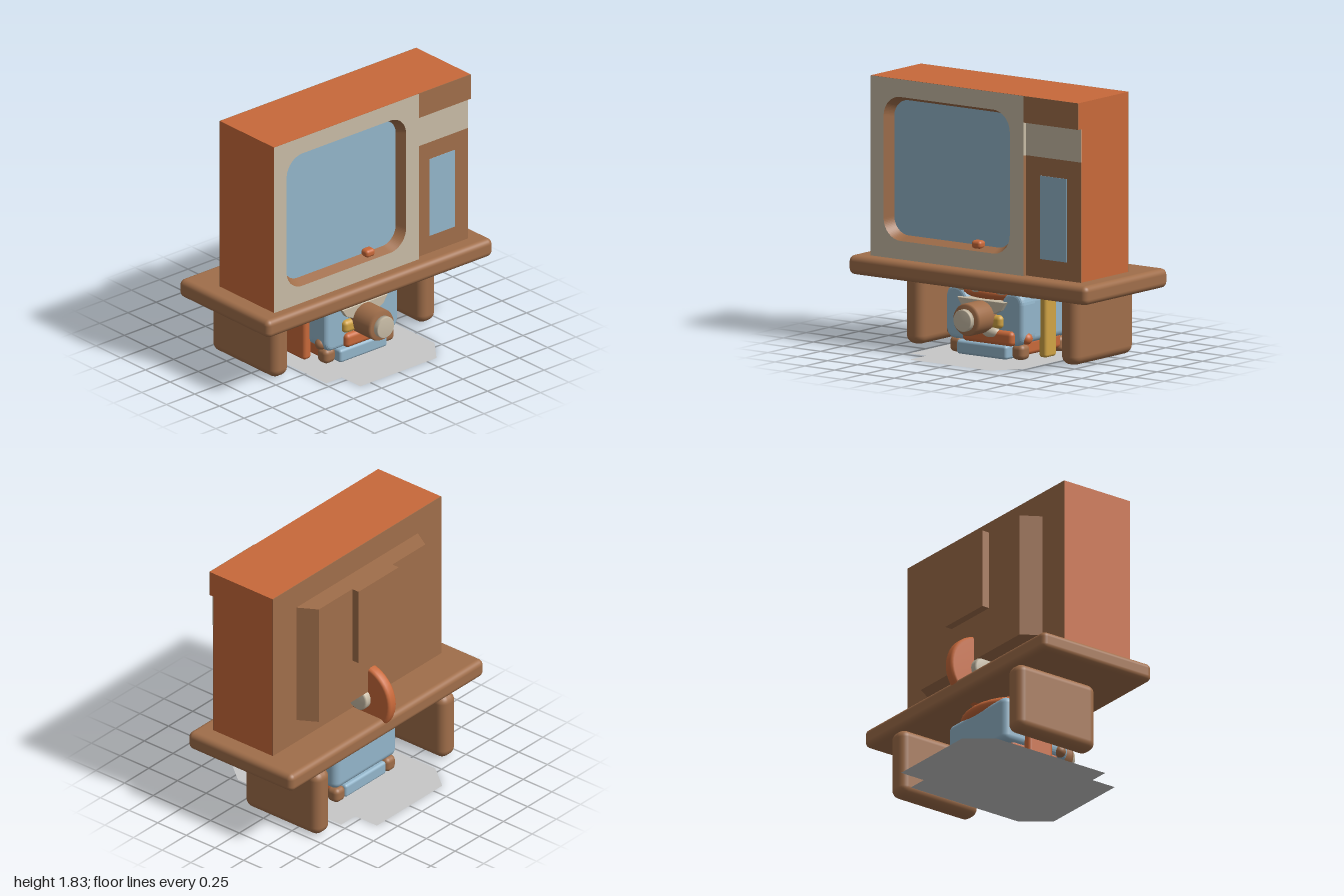
import * as THREE from 'three';
import { RoundedBoxGeometry } from 'three/addons/geometries/RoundedBoxGeometry.js';

const mat = (name, color, side = THREE.FrontSide) => {
  const m = new THREE.MeshStandardMaterial({ color, side });
  m.name = name;
  return m;
};

// Rounded rectangle outline from min/max corners
function roundedRect(Type, x0, x1, y0, y1, r) {
  const p = new Type();
  p.moveTo(x0 + r, y0);
  p.lineTo(x1 - r, y0);
  p.absarc(x1 - r, y0 + r, r, -Math.PI / 2, 0);
  p.lineTo(x1, y1 - r);
  p.absarc(x1 - r, y1 - r, r, 0, Math.PI / 2);
  p.lineTo(x0 + r, y1);
  p.absarc(x0 + r, y1 - r, r, Math.PI / 2, Math.PI);
  p.lineTo(x0, y0 + r);
  p.absarc(x0 + r, y0 + r, r, Math.PI, Math.PI * 1.5);
  return p;
}

export function createModel() {
  const root = new THREE.Group();
  const orange = mat('orange', 0xc8693a);
  const brown = mat('brown', 0xa06e4a);
  const beige = mat('beige', 0xc8bca6);
  const blue = mat('blue', 0x93b5ca);
  const yellow = mat('yellow', 0xd0a344);
  const grey = mat('grey', 0xc8c8c8, THREE.DoubleSide);

  const add = (name, geo, material, x = 0, y = 0, z = 0) => {
    const m = new THREE.Mesh(geo, material);
    m.name = name;
    m.position.set(x, y, z);
    root.add(m);
    return m;
  };
  // Boxes given by min/max on each axis; r > 0 rounds the edges
  const box = (name, material, x0, x1, y0, y1, z0, z1, r = 0) => {
    const s = [x1 - x0, y1 - y0, z1 - z0];
    const geo = r ? new RoundedBoxGeometry(...s, 4, r) : new THREE.BoxGeometry(...s);
    return add(name, geo, material, (x0 + x1) / 2, (y0 + y1) / 2, (z0 + z1) / 2);
  };
  const ball = (name, material, x, y, z, rx, ry = rx, rz = rx) => {
    const m = add(name, new THREE.SphereGeometry(1, 28, 18), material, x, y, z);
    m.scale.set(rx, ry, rz);
    return m;
  };

  // Table
  box('tableTop', brown, -1, 1, 0.48, 0.61, -0.455, 0.455, 0.04);
  for (const s of [-1, 1]) {
    box('tableLeg', brown, s * 0.65 - 0.075, s * 0.65 + 0.075, 0.005, 0.485, -0.45, 0.2, 0.06);
  }

  // Television cabinet
  box('cabinet', orange, -0.87, 0.87, 0.61, 1.83, -0.18, 0.27);
  box('cabinetRight', orange, 0.41, 0.87, 0.61, 1.83, 0.27, 0.335);
  box('cabinetBrow', orange, 0.41, 0.87, 1.65, 1.83, 0.335, 0.366);
  box('cabinetBack', brown, -0.87, 0.87, 0.61, 1.83, -0.184, -0.18);

  // Screen surround: body ring, front face, sloped rim and glass
  const frame = new THREE.Shape([[-0.87, 0.61], [0.41, 0.61], [0.41, 1.83], [-0.87, 1.83]]
    .map(([x, y]) => new THREE.Vector2(x, y)));
  frame.holes.push(roundedRect(THREE.Path, -0.76, 0.297, 0.735, 1.71, 0.14));
  const ring = new THREE.ExtrudeGeometry(frame, { depth: 0.096, bevelEnabled: false, curveSegments: 10 });
  add('cabinetFrame', ring, orange, 0, 0, 0.27);
  add('frontFace', new THREE.ShapeGeometry(frame, 10), beige, 0, 0, 0.37);
  const outer = roundedRect(THREE.Path, -0.76, 0.297, 0.735, 1.71, 0.14).getPoints(10);
  const inner = roundedRect(THREE.Path, -0.723, 0.265, 0.765, 1.68, 0.12).getPoints(10);
  const pos = [];
  for (let i = 0; i < outer.length; i++) {
    const j = (i + 1) % outer.length;
    const a = [outer[i].x, outer[i].y, 0.37], b = [outer[j].x, outer[j].y, 0.37];
    const c = [inner[j].x, inner[j].y, 0.3], d = [inner[i].x, inner[i].y, 0.3];
    pos.push(...a, ...b, ...c, ...a, ...c, ...d);
  }
  const rim = new THREE.BufferGeometry();
  rim.setAttribute('position', new THREE.Float32BufferAttribute(pos, 3));
  rim.computeVertexNormals();
  add('screenRim', rim, brown);
  add('screen', new THREE.ShapeGeometry(
    roundedRect(THREE.Shape, -0.73, 0.272, 0.76, 1.685, 0.12), 10), blue, 0, 0, 0.301);
  box('screenKnob', orange, -0.04, 0.04, 0.747, 0.802, 0.29, 0.36, 0.022);

  // Control panel
  box('panelBrow', brown, 0.41, 0.87, 1.65, 1.83, 0.366, 0.37);
  box('panelStrip', beige, 0.41, 0.87, 1.425, 1.65, 0.335, 0.341);
  box('panelLower', brown, 0.41, 0.87, 0.61, 1.425, 0.335, 0.34);
  box('panelWindow', blue, 0.53, 0.753, 0.735, 1.3, 0.34, 0.343);
  box('stripWall', beige, 0.41, 0.412, 1.425, 1.65, 0.341, 0.369);
  box('lowerWall', brown, 0.41, 0.412, 0.61, 1.425, 0.34, 0.369);

  // Rear housing, tapered in plan
  const plan = new THREE.Shape([[-0.63, 0.18], [0.63, 0.18], [0.55, 0.315], [-0.55, 0.315]]
    .map(([x, y]) => new THREE.Vector2(x, y)));
  const housing = new THREE.ExtrudeGeometry(plan, { depth: 0.875, bevelEnabled: false });
  housing.rotateX(-Math.PI / 2);
  add('rearHousing', housing, brown, 0, 0.78, 0);
  box('rearPanel', brown, -0.21, 0.205, 1.1, 1.655, -0.37, -0.31);

  // Rear wheel with hub
  const wheelProfile = [[0, -0.04], [0.225, -0.04], [0.238, -0.034], [0.245, -0.02],
    [0.245, 0.02], [0.238, 0.034], [0.225, 0.04], [0, 0.04]].map(p => new THREE.Vector2(...p));
  add('rearWheel', new THREE.LatheGeometry(wheelProfile, 48), orange, 0, 0.72, -0.255).rotation.z = Math.PI / 2;
  const hubProfile = [[0, -0.09], [0.07, -0.09], [0.082, -0.078], [0.082, 0.078], [0.07, 0.09], [0, 0.09]]
    .map(p => new THREE.Vector2(...p));
  add('wheelHub', new THREE.LatheGeometry(hubProfile, 32), beige, 0, 0.72, -0.255).rotation.z = Math.PI / 2;

  // Floor plate
  const floor = new THREE.Shape([[-0.34, 0.635], [0.335, 0.635], [0.48, 0.45], [0.48, -0.45], [0.335, -0.45],
    [0.335, -0.64], [-0.34, -0.64], [-0.48, -0.46], [-0.48, 0.45], [-0.34, 0.45]]
    .map(([x, z]) => new THREE.Vector2(x, -z)));
  add('floorPlate', new THREE.ShapeGeometry(floor).rotateX(-Math.PI / 2), grey);

  // Figure under the table: body with a dipped front
  box('body', blue, -0.32, 0.32, 0.11, 0.44, -0.27, 0.2, 0.05);
  const face = new THREE.Shape();
  face.moveTo(-0.25, 0.13);
  face.lineTo(0.25, 0.13);
  face.quadraticCurveTo(0.295, 0.13, 0.295, 0.18);
  face.lineTo(0.295, 0.38);
  face.quadraticCurveTo(0.29, 0.44, 0.23, 0.435);
  face.quadraticCurveTo(0.19, 0.43, 0.16, 0.36);
  face.lineTo(-0.16, 0.36);
  face.quadraticCurveTo(-0.19, 0.43, -0.23, 0.435);
  face.quadraticCurveTo(-0.29, 0.44, -0.295, 0.38);
  face.lineTo(-0.295, 0.18);
  face.quadraticCurveTo(-0.295, 0.13, -0.25, 0.13);
  add('bodyFront', new THREE.ExtrudeGeometry(face,
    { depth: 0.1, bevelSize: 0.03, bevelThickness: 0.03, bevelSegments: 4, curveSegments: 8 }), blue, 0, 0, 0.135);

  // Spotted cap
  ball('cap', orange, 0, 0.44, 0, 0.35, 0.085, 0.3);
  for (const [x, y, z] of [[-0.05, 0.48, 0.26], [0.14, 0.48, 0.24], [-0.2, 0.47, 0.22], [0.29, 0.46, 0.14]]) {
    ball('capSpot', beige, x, y, z, 0.06, 0.05, 0.06);
  }

  // Face: muzzle, snout and mouth
  const muzzle = new THREE.Shape([[-0.1, 0.31], [0.1, 0.31], [0.16, 0.34], [0.195, 0.39], [-0.195, 0.39], [-0.16, 0.34]]
    .map(([x, y]) => new THREE.Vector2(x, y)));
  add('muzzle', new THREE.ExtrudeGeometry(muzzle, { depth: 0.08, bevelSize: 0.006, bevelThickness: 0.006 }),
    beige, 0, 0, 0.21);
  box('mouthBar', yellow, -0.18, 0.165, 0.21, 0.3, 0.2, 0.3, 0.03);
  box('chin', orange, -0.165, 0.26, 0.1, 0.2, 0.2, 0.3, 0.03);
  ball('chinPatch', beige, 0.07, 0.18, 0.275, 0.075, 0.04, 0.04);
  const snout = [[0, 0.25], [0.1, 0.25], [0.11, 0.27], [0.11, 0.45], [0.1, 0.47], [0, 0.47]]
    .map(p => new THREE.Vector2(...p));
  add('snout', new THREE.LatheGeometry(snout, 36), brown, 0, 0.28, 0).rotation.x = Math.PI / 2;
  const tip = [[0, 0.46], [0.075, 0.46], [0.075, 0.5], [0.07, 0.508], [0, 0.508]].map(p => new THREE.Vector2(...p));
  add('snoutTip', new THREE.LatheGeometry(tip, 36), beige, 0, 0.28, 0).rotation.x = Math.PI / 2;

  // Base, feet and side posts
  box('base', blue, -0.215, 0.205, 0.005, 0.1, -0.26, 0.29, 0.02);
  box('underBody', orange, -0.3, 0.3, 0.03, 0.14, -0.2, 0.2, 0.03);
  for (const x of [-0.26, 0.26]) for (const z of [-0.22, 0.2]) {
    box('foot', brown, x - 0.05, x + 0.05, 0.004, 0.11, z - 0.05, z + 0.05, 0.035);
  }
  for (const s of [-1, 1]) ball('hand', s < 0 ? brown : orange, s * 0.31, 0.15, 0.2, 0.04);
  box('rightPost', orange, -0.37, -0.3, 0.004, 0.485, -0.1, 0.1, 0.025);
  box('leftPost', yellow, 0.3, 0.365, 0.004, 0.485, -0.06, 0.06, 0.02);

  return root;
}
